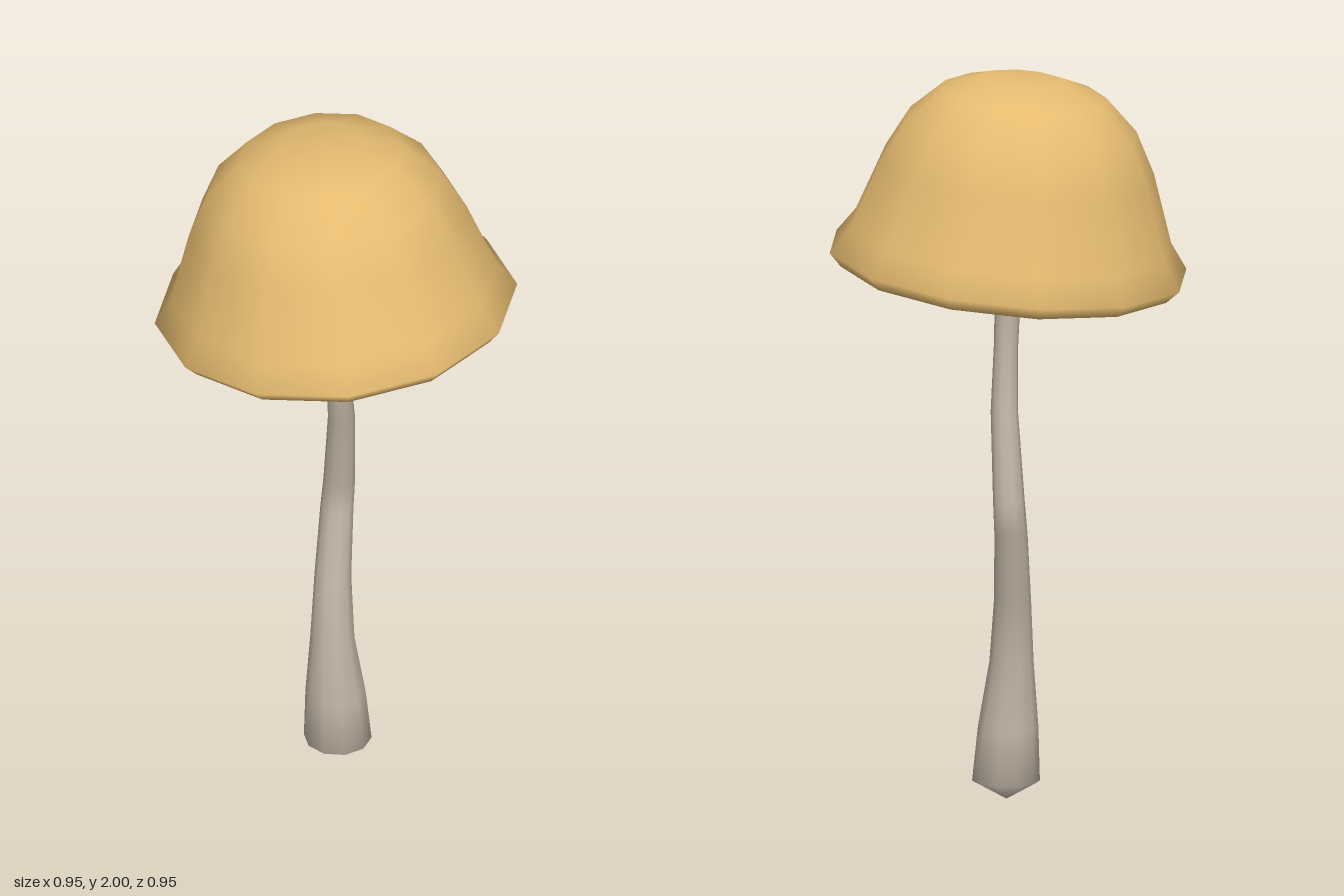
import * as THREE from 'three';

const TILT = 0.115; // cap leans, its left side raised
const capSkin = new THREE.MeshStandardMaterial({ color: 0xe5bb70 });
capSkin.name = 'ochre cap';
const flesh = new THREE.MeshStandardMaterial({ color: 0xc1b4a4 });
flesh.name = 'pale flesh';

// Twelve-sided turned surface; profile pairs are [radius, height]
function turned(name, profile, material) {
  const points = profile.map(([r, y]) => new THREE.Vector2(r, y));
  const mesh = new THREE.Mesh(new THREE.LatheGeometry(points, 12, Math.PI / 12), material);
  mesh.name = name;
  return mesh;
}

// Smooth skin through horizontal rings given as [x, y, z, radius]
function loft(rings, sides) {
  const positions = [], index = [];
  for (const [x, y, z, r] of rings) {
    for (let i = 0; i < sides; i++) {
      const a = ((i + 0.5) / sides) * Math.PI * 2;
      positions.push(x + r * Math.sin(a), y, z + r * Math.cos(a));
    }
  }
  for (let k = 0; k < rings.length - 1; k++) {
    for (let i = 0; i < sides; i++) {
      const a = k * sides + i, b = k * sides + (i + 1) % sides;
      index.push(a, b, b + sides, a, b + sides, a + sides);
    }
  }
  const geometry = new THREE.BufferGeometry();
  geometry.setAttribute('position', new THREE.Float32BufferAttribute(positions, 3));
  geometry.setIndex(index);
  geometry.computeVertexNormals();
  return geometry;
}

export function createModel() {
  const model = new THREE.Group();
  model.name = 'mushroom';

  // Cap: bell with a flared, rolled rim and a hollow underside
  const cap = new THREE.Group();
  cap.name = 'cap';
  cap.position.y = 1.485;
  cap.rotation.z = TILT;
  cap.add(
    turned('capTop', [
      [0.375, -0.03], [0.46, -0.036], [0.494, 0], [0.445, 0.071], [0.379, 0.262],
      [0.319, 0.379], [0.226, 0.47], [0.119, 0.506], [0, 0.508],
    ], capSkin),
    // Ceiling drops towards the middle to meet the flaring stem
    turned('capUnderside', [
      [0.1, 0.14], [0.15, 0.185], [0.22, 0.205], [0.3, 0.14], [0.345, 0.05], [0.375, -0.03],
    ], flesh),
  );
  model.add(cap);

  // Stem: pointed foot, bends right and back at mid height, flares into the cap
  const stem = new THREE.Mesh(loft([
    [0.006, 0, 0.002, 0],
    [0.008, 0.05, 0.002, 0.092],
    [0.003, 0.2, 0.005, 0.082],
    [-0.006, 0.38, 0.008, 0.06],
    [-0.027, 0.56, -0.018, 0.05],
    [-0.055, 0.75, -0.067, 0.045],
    [-0.055, 0.84, -0.077, 0.043],
    [-0.015, 1.08, -0.04, 0.037],
    [0, 1.25, -0.01, 0.033],
    [-0.002, 1.45, 0, 0.036],
    [-0.008, 1.54, 0, 0.052],
    [-0.015, 1.6, 0, 0.08],
    [-0.018, 1.65, 0, 0.125],
    [-0.02, 1.68, 0, 0.18],
  ], 10), flesh);
  stem.name = 'stem';
  model.add(stem);

  return model;
}
